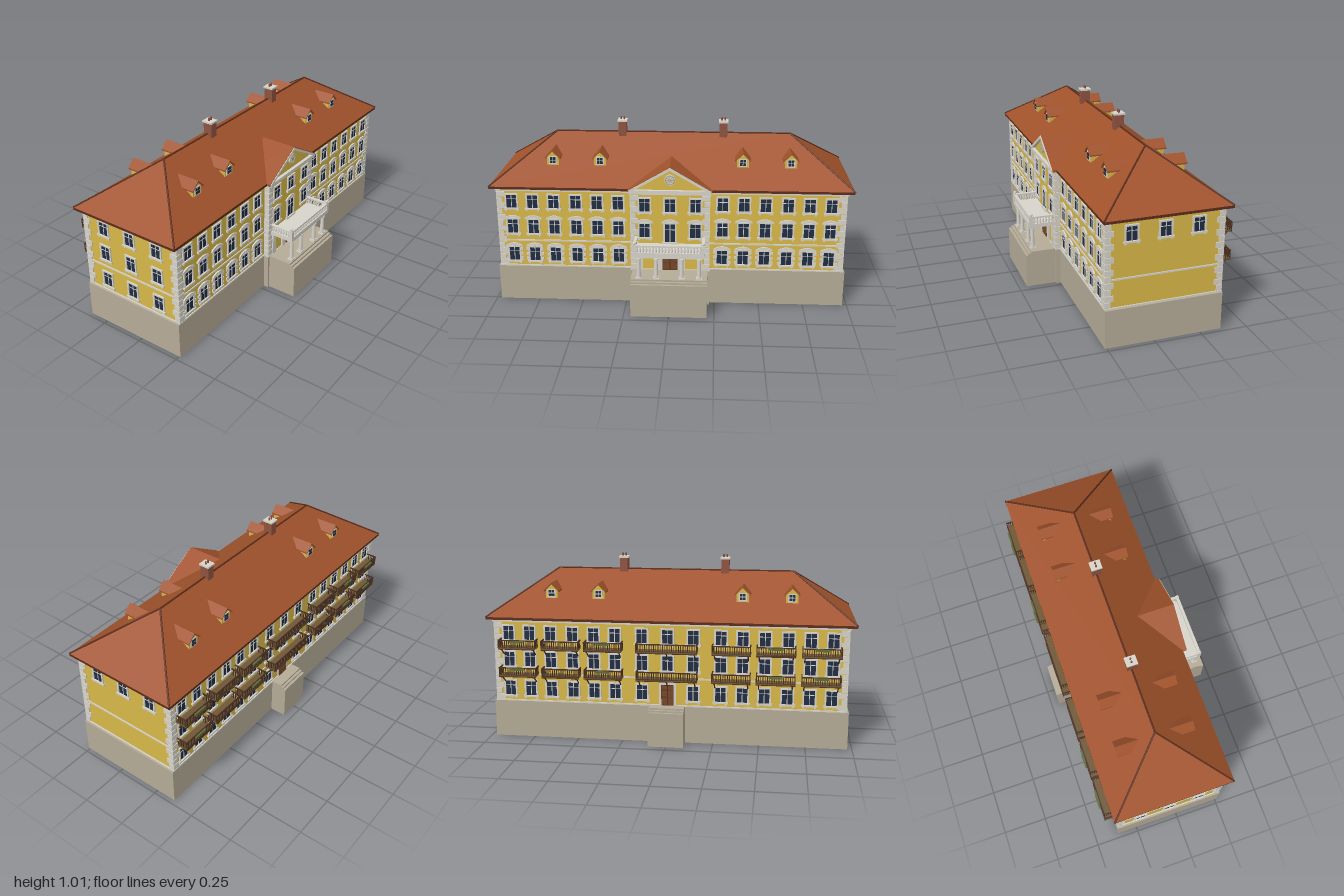
import * as THREE from 'three';

const mat = (color, side = THREE.FrontSide) => new THREE.MeshStandardMaterial({ color, side });
const M = {
  wall: mat(0xd8b848), trim: mat(0xd6d3ca), stone: mat(0xb5ab97), roof: mat(0xa0522b, THREE.DoubleSide),
  eave: mat(0x5c2c1a), brick: mat(0x8f5340), glass: mat(0x1f2c42), wood: mat(0x4a3020),
  floor: mat(0x6e5736), door: mat(0x75492c), leaf: mat(0x5d6b38),
};
const unit = new THREE.BoxGeometry(1, 1, 1);
const RIDGE_Z = -0.056, FRONT = 0.255, BACK = -0.36, SIDE = 0.96;

function add(parent, name, geo, m, x = 0, y = 0, z = 0) {
  const o = new THREE.Mesh(geo, m);
  o.name = name;
  o.position.set(x, y, z);
  parent.add(o);
  return o;
}
// Box given by its two extremes on each axis
function box(parent, name, m, x0, x1, y0, y1, z0, z1) {
  const o = add(parent, name, unit, m, (x0 + x1) / 2, (y0 + y1) / 2, (z0 + z1) / 2);
  o.scale.set(x1 - x0, y1 - y0, z1 - z0);
  return o;
}
function group(parent, name, x = 0, y = 0, z = 0, ry = 0) {
  const g = new THREE.Group();
  g.name = name;
  g.position.set(x, y, z);
  g.rotation.y = ry;
  parent.add(g);
  return g;
}
// Round bar between two points
function bar(parent, name, m, a, b, r) {
  const p = new THREE.Vector3(...a), q = new THREE.Vector3(...b), d = q.clone().sub(p);
  const o = add(parent, name, new THREE.CylinderGeometry(r, r, d.length(), 6), m);
  o.position.copy(p).add(q).multiplyScalar(0.5);
  o.quaternion.setFromUnitVectors(new THREE.Vector3(0, 1, 0), d.normalize());
}
const poly = pts => new THREE.Shape(pts.map(p => new THREE.Vector2(...p)));
const extrude = (shape, depth) => new THREE.ExtrudeGeometry(shape, { depth, bevelEnabled: false, curveSegments: 8 });
// Inverted V seen from the front, t thick
const chevron = (w, y0, y1, t) => poly([[-w, y0], [0, y1], [w, y0], [w, y0 - t], [0, y1 - t], [-w, y0 - t]]);

// Curved hood over a window
const hood = new THREE.Shape();
hood.moveTo(-0.047, -0.006);
hood.lineTo(-0.047, 0.003);
hood.quadraticCurveTo(0, 0.034, 0.047, 0.003);
hood.lineTo(0.047, -0.006);
hood.quadraticCurveTo(0, 0.016, -0.047, -0.006);
const hoodGeo = extrude(hood, 0.009);

// Window on a wall facing +z; style: plain, hood or blocks
function windowUnit(parent, x, y0, y1, style) {
  const g = group(parent, 'window', x), w = 0.028, f = 0.037;
  box(g, 'glass', M.glass, -w, w, y0, y1, -0.002, 0.002);
  for (const s of [-1, 1]) {
    box(g, 'jamb', M.trim, s < 0 ? -f : w, s < 0 ? -w : f, y0, y1, -0.002, 0.007);
    if (style === 'blocks') for (let k = 0; k < 3; k++) {
      const y = y0 + 0.002 + k * (y1 - y0 - 0.02) / 2;
      box(g, 'surroundBlock', M.trim, s * 0.041 - 0.008, s * 0.041 + 0.008, y, y + 0.016, -0.002, 0.006);
    }
  }
  box(g, 'lintel', M.trim, -f, f, y1, y1 + 0.009, -0.002, 0.008);
  box(g, 'sill', M.trim, -0.043, 0.043, y0 - 0.01, y0, -0.002, 0.011);
  for (const s of [-1, 1]) box(g, 'sillBracket', M.trim, s * 0.032 - 0.005, s * 0.032 + 0.005, y0 - 0.018, y0 - 0.01, -0.002, 0.008);
  box(g, 'mullion', M.trim, -0.0018, 0.0018, y0, y1, 0, 0.004);
  box(g, 'transom', M.trim, -w, w, y0 + (y1 - y0) * 0.66, y0 + (y1 - y0) * 0.66 + 0.003, 0, 0.004);
  if (style !== 'plain') add(g, 'hood', hoodGeo, M.trim, 0, y1 + 0.007, -0.001);
  if (style === 'blocks') box(g, 'keystone', M.trim, -0.006, 0.006, y1 + 0.004, y1 + 0.026, -0.002, 0.011);
}
const ROWS = [[0.24, 0.32, 'blocks'], [0.405, 0.485, 'hood'], [0.555, 0.63, 'plain']];
const WING = [0.289, 0.406, 0.524, 0.647, 0.765, 0.882];

// Corner stones wrapping the edge at (cx, cz); sx, sz point outward
function quoins(parent, cx, cz, sx, sz, depth) {
  const g = group(parent, 'quoins', cx, 0, cz);
  for (let i = 0; i < 13; i++) {
    const y = 0.214 + i * 0.0338, a = i % 2 ? 0.026 : 0.04, b = Math.min(i % 2 ? 0.04 : 0.026, depth);
    const o = box(g, 'quoin', M.trim, -a, 0.005, y, y + 0.03, -b, 0.005);
    o.position.x *= sx;
    o.position.z *= sz;
  }
}

// Wooden balcony on a wall facing +z
function woodBalcony(parent, x, y, half, planter) {
  const g = group(parent, 'woodBalcony', x, y), d = 0.065;
  box(g, 'floor', M.floor, -half, half, 0, 0.008, 0, d);
  box(g, 'frontBeam', M.wood, -half, half, -0.004, 0.009, d - 0.006, d);
  box(g, 'frontRail', M.wood, -half, half, 0.044, 0.05, d - 0.006, d);
  const n = Math.round(half * 2 / 0.0125);
  for (let i = 0; i <= n; i++) {
    const u = -half + 0.002 + i * (half * 2 - 0.004) / n;
    box(g, 'baluster', M.wood, u - 0.002, u + 0.002, 0.008, 0.045, d - 0.005, d - 0.001);
  }
  for (const s of [-1, 1]) {
    const u = s * (half - 0.003);
    box(g, 'sideRail', M.wood, u - 0.003, u + 0.003, 0.044, 0.05, 0, d);
    for (let k = 0; k < 5; k++) box(g, 'sideBaluster', M.wood, u - 0.002, u + 0.002, 0.008, 0.045, 0.004 + k * 0.011, 0.008 + k * 0.011);
  }
  for (const s of half > 0.12 ? [-1, 0, 1] : [-1, 1]) {
    const u = s * (half - 0.015);
    bar(g, 'brace', M.wood, [u, -0.045, 0], [u, 0, d - 0.008], 0.0035);
    box(g, 'joist', M.wood, u - 0.004, u + 0.004, -0.007, 0, 0, d);
  }
  if (planter) box(g, 'planter', M.leaf, -0.037, 0.037, 0.036, 0.047, d, d + 0.01);
}

function entrancePorch(root) {
  const g = group(root, 'entrancePorch');
  box(g, 'balconySlab', M.trim, -0.195, 0.195, 0.345, 0.368, 0.28, 0.425);
  box(g, 'slabBeam', M.trim, -0.185, 0.185, 0.333, 0.346, 0.393, 0.417);
  const shaft = new THREE.CylinderGeometry(0.009, 0.012, 0.11, 14);
  const ring = new THREE.CylinderGeometry(0.014, 0.014, 0.008, 14);
  for (const x of [-0.165, -0.07, 0.07, 0.165]) {
    add(g, 'column', shaft, M.trim, x, 0.272, 0.405);
    add(g, 'columnBase', ring, M.trim, x, 0.221, 0.405);
    add(g, 'columnCapital', ring, M.trim, x, 0.325, 0.405);
    box(g, 'columnFoot', M.trim, x - 0.016, x + 0.016, 0.208, 0.218, 0.389, 0.421);
    box(g, 'pilaster', M.trim, x - 0.014, x + 0.014, 0.21, 0.345, 0.28, 0.292);
  }
  const bal = new THREE.LatheGeometry([[0.004, 0], [0.004, 0.005], [0.0065, 0.013], [0.003, 0.026], [0.005, 0.035]].map(p => new THREE.Vector2(...p)), 8);
  box(g, 'rail', M.trim, -0.195, 0.195, 0.401, 0.41, 0.408, 0.425);
  for (let i = -10; i <= 10; i++) add(g, 'baluster', bal, M.trim, i * 0.0172, 0.367, 0.416);
  for (const s of [-1, 1]) {
    box(g, 'sideRail', M.trim, s * 0.187 - 0.008, s * 0.187 + 0.008, 0.401, 0.41, 0.285, 0.425);
    for (let k = 0; k < 7; k++) add(g, 'sideBaluster', bal, M.trim, s * 0.187, 0.367, 0.298 + k * 0.0165);
    box(g, 'cornerPost', M.trim, s * 0.186 - 0.01, s * 0.186 + 0.01, 0.366, 0.414, 0.405, 0.426);
    add(g, 'finial', new THREE.SphereGeometry(0.009, 10, 8), M.trim, s * 0.186, 0.42, 0.416);
    // Arched moulding on the wall beside the door
    add(g, 'archMoulding', new THREE.TorusGeometry(0.036, 0.005, 6, 14, Math.PI), M.trim, s * 0.1175, 0.3, 0.285);
    box(g, 'lantern', M.eave, s * 0.058 - 0.005, s * 0.058 + 0.005, 0.312, 0.33, 0.292, 0.304);
  }
}
// Panelled double door on a wall facing +z
function doubleDoor(parent, z, w, top) {
  const g = group(parent, 'doubleDoor', 0, 0, z);
  box(g, 'doorSurround', M.trim, -w - 0.013, w + 0.013, 0.208, top + 0.015, -0.003, 0.005);
  box(g, 'doorFrame', M.eave, -w, w, 0.21, top, 0, 0.007);
  for (const s of [-1, 1]) for (const [y0, y1] of [[0.214, 0.255], [0.26, 0.295], [0.3, top - 0.004]])
    box(g, 'doorPanel', M.door, s * w / 2 - w * 0.42, s * w / 2 + w * 0.42, y0, y1, 0, 0.01);
}

function dormer(root, x, ry) {
  const g = group(root, 'dormer', x, 0, RIDGE_Z, ry);
  add(g, 'dormerBody', extrude(poly([[-0.033, 0.74], [0.033, 0.74], [0.033, 0.82], [0, 0.85], [-0.033, 0.82]]), 0.14), M.wall, 0, 0, 0.065);
  add(g, 'dormerRoof', extrude(chevron(0.043, 0.817, 0.859, 0.008), 0.145), M.roof, 0, 0, 0.07);
  box(g, 'dormerFrame', M.trim, -0.022, 0.022, 0.778, 0.824, 0.2, 0.209);
  for (const s of [-1, 1]) for (const y of [0.785, 0.804])
    box(g, 'dormerPane', M.glass, s * 0.0085 - 0.007, s * 0.0085 + 0.007, y, y + 0.015, 0.2, 0.211);
}

function mainRoof(root) {
  const g = group(root, 'mainRoof'), y = 0.682, X = 1, zf = 0.278, zb = -0.39, r = 0.665, h = 0.918;
  const A = [-X, y, zf], B = [X, y, zf], C = [X, y, zb], D = [-X, y, zb], L = [-r, h, RIDGE_Z], R = [r, h, RIDGE_Z];
  const tris = [A, B, R, A, R, L, C, D, L, C, L, R, B, C, R, D, A, L];
  const geo = new THREE.BufferGeometry();
  geo.setAttribute('position', new THREE.Float32BufferAttribute(tris.flat(), 3));
  geo.computeVertexNormals();
  add(g, 'roofSlopes', geo, M.roof);
  box(g, 'eaves', M.eave, -X, X, 0.668, y, zb, zf);
  for (const [a, b] of [[A, L], [D, L], [B, R], [C, R], [L, R]]) bar(g, 'ridgeCap', M.eave, a, b, 0.005);
  // Chimneys
  const pot = new THREE.CylinderGeometry(0.005, 0.005, 0.03, 8);
  for (const x of [-0.287, 0.287]) {
    const c = group(g, 'chimney', x, 0, RIDGE_Z + 0.003);
    box(c, 'chimneyStack', M.brick, -0.022, 0.022, 0.86, 0.982, -0.026, 0.026);
    box(c, 'chimneyCap', M.trim, -0.027, 0.027, 0.98, 0.99, -0.031, 0.031);
    for (const s of [-1, 1]) add(c, 'chimneyPot', pot, M.brick, s * 0.009, 0.992, 0);
  }
  for (const x of [-0.66, -0.396, 0.396, 0.66]) for (const ry of [0, Math.PI]) dormer(g, x, ry);
}

function pediment(root) {
  const g = group(root, 'pediment');
  add(g, 'tympanum', extrude(poly([[-0.215, 0.665], [0.215, 0.665], [0, 0.8]]), 0.2), M.wall, 0, 0, 0.085);
  add(g, 'gableRoof', extrude(chevron(0.23, 0.682, 0.816, 0.012), 0.215), M.roof, 0, 0, 0.085);
  add(g, 'rakingCornice', extrude(chevron(0.225, 0.681, 0.812, 0.016), 0.03), M.trim, 0, 0, 0.274);
  box(g, 'pedimentCornice', M.trim, -0.225, 0.225, 0.664, 0.682, 0.25, 0.303);
  const disc = add(g, 'roundMedallion', new THREE.CylinderGeometry(0.03, 0.03, 0.012, 20), M.trim, 0, 0.74, 0.287);
  disc.rotation.x = Math.PI / 2;
  add(g, 'medallionRing', new THREE.TorusGeometry(0.024, 0.003, 6, 20), M.stone, 0, 0.74, 0.293);
  for (let k = 0; k < 4; k++) box(g, 'medallionRay', M.stone, -0.002, 0.002, 0.72, 0.76, 0.29, 0.295).rotation.z = k * Math.PI / 4;
}

export function createModel() {
  const root = new THREE.Group();
  root.name = 'manorHouse';
  // Plinth, terrace and steps
  box(root, 'plinth', M.stone, -0.975, 0.975, 0, 0.206, -0.365, 0.26);
  box(root, 'bayPlinth', M.stone, -0.222, 0.222, 0, 0.206, 0.2, 0.288);
  [[0.425, 0.21], [0.44, 0.2], [0.455, 0.19]].forEach(([z, y]) => {
    box(root, 'terraceStep', M.stone, -0.21, 0.21, 0, y, 0.2, z);
    box(root, 'backStep', M.stone, -0.097, 0.097, 0, y, -z, -0.3);
  });
  // Walls with their horizontal bands
  box(root, 'walls', M.wall, -SIDE, SIDE, 0.2, 0.67, BACK, FRONT);
  box(root, 'bayWall', M.wall, -0.215, 0.215, 0.2, 0.67, 0.2, 0.283);
  for (const [y0, y1, o] of [[0.205, 0.213, 0.006], [0.357, 0.366, 0.005], [0.655, 0.669, 0.01]]) {
    box(root, 'band', M.trim, -SIDE - o, SIDE + o, y0, y1, BACK - o, FRONT + o);
    box(root, 'bayBand', M.trim, -0.215 - o, 0.215 + o, y0, y1, 0.2, 0.283 + o);
  }
  for (const s of [-1, 1]) {
    quoins(root, s * SIDE, FRONT, s, 1, 1);
    quoins(root, s * SIDE, BACK, s, -1, 1);
    quoins(root, s * 0.215, 0.283, s, 1, 0.026);
  }
  // Facades, each built facing +z and turned into place
  const front = group(root, 'frontFacade', 0, 0, FRONT);
  const bay = group(root, 'bayFacade', 0, 0, 0.283);
  const back = group(root, 'backFacade', 0, 0, BACK, Math.PI);
  const zMid = -0.05;
  const plusX = group(root, 'endFacade', SIDE, 0, zMid, Math.PI / 2);
  const minusX = group(root, 'endFacade', -SIDE, 0, zMid, -Math.PI / 2);
  ROWS.forEach(([y0, y1, style], row) => {
    for (const x of WING) for (const s of [-1, 1]) {
      windowUnit(front, s * x, y0, y1, style);
      windowUnit(back, s * x, y0, y1, 'plain');
    }
    for (const x of [-0.14, 0, 0.14]) {
      if (row > 0) windowUnit(bay, x, row === 1 && x === 0 ? 0.378 : y0, y1, style);
      if (row > 0 || x !== 0) windowUnit(back, x, y0, y1, 'plain');
    }
    for (const u of [-0.175, 0, 0.175]) {
      windowUnit(minusX, u, y0, y1, 'plain');
      if (row === 2) windowUnit(plusX, u, y0, y1, 'plain');
    }
  });
  doubleDoor(bay, 0, 0.042, 0.328);
  doubleDoor(back, 0, 0.034, 0.325);
  // Two tiers of rear balconies
  for (const y of [0.36, 0.514]) {
    woodBalcony(back, 0, y, 0.166, false);
    for (const s of [-1, 1]) for (const x of [0.347, 0.583, 0.822])
      woodBalcony(back, s * x, y, 0.104, x > 0.8 || s * x === 0.583 || s * x === -0.347);
  }
  entrancePorch(root);
  mainRoof(root);
  pediment(root);
  return root;
}
